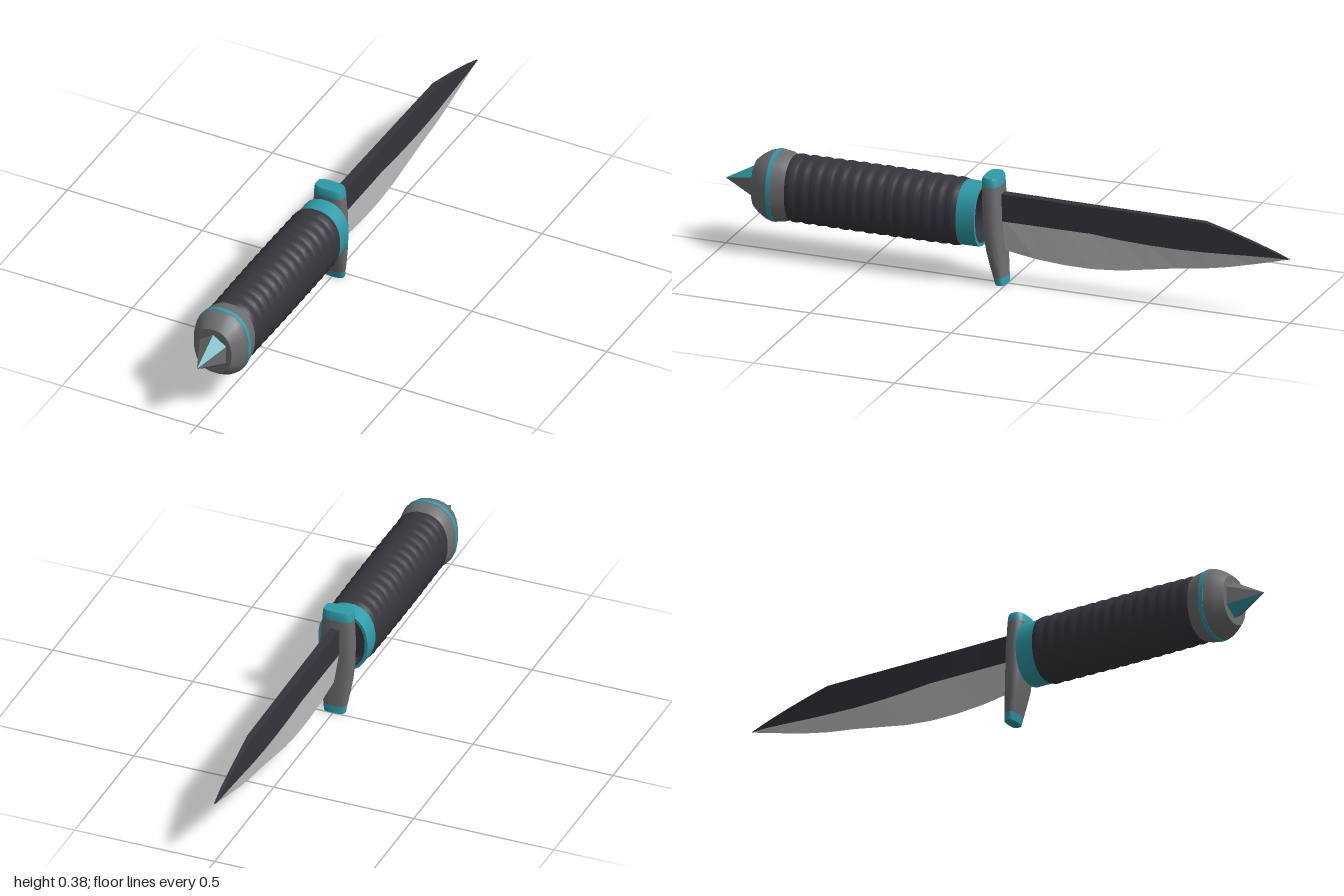
import * as THREE from 'three';
import { toCreasedNormals } from 'three/addons/utils/BufferGeometryUtils.js';

const mat = (name, color, side = THREE.FrontSide) => {
  const m = new THREE.MeshStandardMaterial({ color, side });
  m.name = name;
  return m;
};

const CY = 0.23; // height of the grip axis

// Rounded outline in a plane; n > 2 makes it squarer.
function outline(rx, ry, n, sides) {
  const pts = [];
  for (let i = 0; i < sides; i++) {
    const a = ((i + 0.5) / sides) * Math.PI * 2;
    const c = Math.cos(a), s = Math.sin(a);
    pts.push([
      rx * Math.sign(c) * Math.abs(c) ** (2 / n),
      ry * Math.sign(s) * Math.abs(s) ** (2 / n),
    ]);
  }
  return pts;
}
// Ring across the grip axis (z) and ring across the guard axis (y).
const gripRing = (z, rx, ry) =>
  outline(rx, ry, 2.3, 24).map(([u, v]) => new THREE.Vector3(u, CY + v, z));
const guardRing = (y, rx, z0, z1) =>
  outline(rx, (z1 - z0) / 2, 3, 20).map(([u, v]) => new THREE.Vector3(u, y, (z0 + z1) / 2 - v));

// Skin through closed rings, with optional flat end caps.
function loft(rings, capStart, capEnd, crease = 0.6) {
  const pos = [], idx = [], n = rings[0].length;
  rings.forEach((r) => r.forEach((p) => pos.push(p.x, p.y, p.z)));
  for (let i = 0; i < rings.length - 1; i++) {
    for (let j = 0; j < n; j++) {
      const a = i * n + j, b = i * n + ((j + 1) % n);
      idx.push(a, b, a + n, b, b + n, a + n);
    }
  }
  const cap = (start) => {
    const o = start ? 0 : (rings.length - 1) * n;
    for (let j = 1; j < n - 1; j++) {
      if (start) idx.push(o, o + j + 1, o + j);
      else idx.push(o, o + j, o + j + 1);
    }
  };
  if (capStart) cap(true);
  if (capEnd) cap(false);
  const g = new THREE.BufferGeometry();
  g.setAttribute('position', new THREE.Float32BufferAttribute(pos, 3));
  g.setIndex(idx);
  return toCreasedNormals(g, crease);
}

// Flat-shaded quads between neighbouring [x, y, z] strips.
function strips(lines) {
  const pos = [];
  lines.forEach(([p, q]) => {
    for (let i = 0; i < p.length - 1; i++) {
      pos.push(...p[i], ...q[i], ...p[i + 1], ...q[i], ...q[i + 1], ...p[i + 1]);
    }
  });
  const g = new THREE.BufferGeometry();
  g.setAttribute('position', new THREE.Float32BufferAttribute(pos, 3));
  g.computeVertexNormals();
  return g;
}

export function createModel() {
  const model = new THREE.Group();
  const dark = mat('dark grip', 0x37363d);
  const darkBlade = mat('dark blade', 0x35343b, THREE.DoubleSide);
  const steel = mat('bright steel', 0xc6c6c8, THREE.DoubleSide);
  const grey = mat('grey metal', 0x6d6d6f);
  const teal = mat('teal', 0x2f9ba8);
  const add = (name, geo, m) => {
    const mesh = new THREE.Mesh(geo, m);
    mesh.name = name;
    model.add(mesh);
  };

  // Blade stations: z, spine, grind line, edge, half thickness
  const stations = [
    [0.04, 0.315, 0.22, 0.115, 0.016], [0, 0.315, 0.22, 0.113, 0.016],
    [-0.1, 0.315, 0.22, 0.098, 0.015], [-0.2, 0.314, 0.22, 0.091, 0.015],
    [-0.3, 0.314, 0.22, 0.091, 0.014], [-0.4, 0.314, 0.212, 0.1, 0.013],
    [-0.5, 0.314, 0.208, 0.118, 0.012], [-0.6, 0.314, 0.207, 0.136, 0.011],
    [-0.7, 0.314, 0.21, 0.15, 0.01], [-0.78, 0.294, 0.214, 0.166, 0.008],
    [-0.86, 0.271, 0.219, 0.186, 0.007], [-0.94, 0.245, 0.223, 0.207, 0.006],
    [-1, 0.224, 0.224, 0.224, 0.003],
  ];
  const line = (k, s) => stations.map((t) => [s * t[4], t[k], t[0]]);
  const edge = line(3, 0);
  add('bladeBody', strips([
    [line(1, 1), line(2, 1)].reverse(), [line(2, -1), line(1, -1)].reverse(),
    [line(1, -1), line(1, 1)].reverse(),
  ]), darkBlade);
  add('bladeBevel', strips([[edge, line(2, 1)], [line(2, -1), edge]]), steel);

  // Guard, leaning towards the blade at its lower end
  const guard = [
    guardRing(0, 0.037, 0, 0.036), guardRing(0.027, 0.041, 0.002, 0.043),
    guardRing(0.07, 0.048, 0.005, 0.054), guardRing(0.12, 0.055, 0.009, 0.065),
    guardRing(0.18, 0.059, 0.012, 0.074), guardRing(0.25, 0.06, 0.014, 0.078),
    guardRing(0.345, 0.054, 0.018, 0.081), guardRing(0.367, 0.052, 0.02, 0.081),
    guardRing(0.376, 0.049, 0.024, 0.077),
  ];
  add('guardLowerTip', loft(guard.slice(0, 2), true, false), teal);
  add('guard', loft(guard.slice(1, 7)), grey);
  add('guardUpperTip', loft(guard.slice(6), false, true), teal);

  // Hollow collar with a dark lining
  add('collar', loft([
    gripRing(0.085, 0.078, 0.097), gripRing(0.085, 0.088, 0.108), gripRing(0.152, 0.089, 0.109),
  ]), teal);
  add('collarLining', loft([gripRing(0.17, 0.078, 0.097), gripRing(0.085, 0.078, 0.097)], true), dark);

  // Ribbed grip
  const ribs = 14, steps = ribs * 6, rings = [];
  for (let i = 0; i <= steps; i++) {
    const t = i / steps;
    const r = 0.004 * Math.abs(Math.sin(t * ribs * Math.PI)) + 0.002 * Math.sin(t * Math.PI);
    rings.push(gripRing(0.15 + 0.61 * t, 0.09 + r, 0.11 + r));
  }
  add('grip', loft(rings, true, false, 1.2), dark);

  // Pommel with a thin stripe
  add('pommelFront', loft([
    gripRing(0.758, 0.091, 0.111), gripRing(0.775, 0.095, 0.117), gripRing(0.805, 0.099, 0.121),
  ], true), grey);
  add('pommelStripe', loft([gripRing(0.805, 0.1, 0.122), gripRing(0.821, 0.1, 0.122)], true, true), teal);
  add('pommelEnd', loft([
    gripRing(0.821, 0.099, 0.121), gripRing(0.84, 0.094, 0.116),
    gripRing(0.862, 0.083, 0.103), gripRing(0.884, 0.068, 0.085),
  ], false, true), grey);

  // Six-sided spike, two opposite faces teal
  const corner = (i) => {
    const a = Math.PI / 2 - (i * Math.PI) / 3;
    return [0.057 * Math.cos(a), CY + 0.066 * Math.sin(a), 0.882];
  };
  const spikeFaces = (faces) => {
    const g = new THREE.BufferGeometry();
    const pos = faces.flatMap((i) => [...corner(i + 1), ...corner(i), 0, CY, 1]);
    g.setAttribute('position', new THREE.Float32BufferAttribute(pos, 3));
    g.computeVertexNormals();
    return g;
  };
  add('spike', spikeFaces([1, 2, 4, 5]), grey);
  add('spikeAccent', spikeFaces([0, 3]), teal);
  return model;
}
